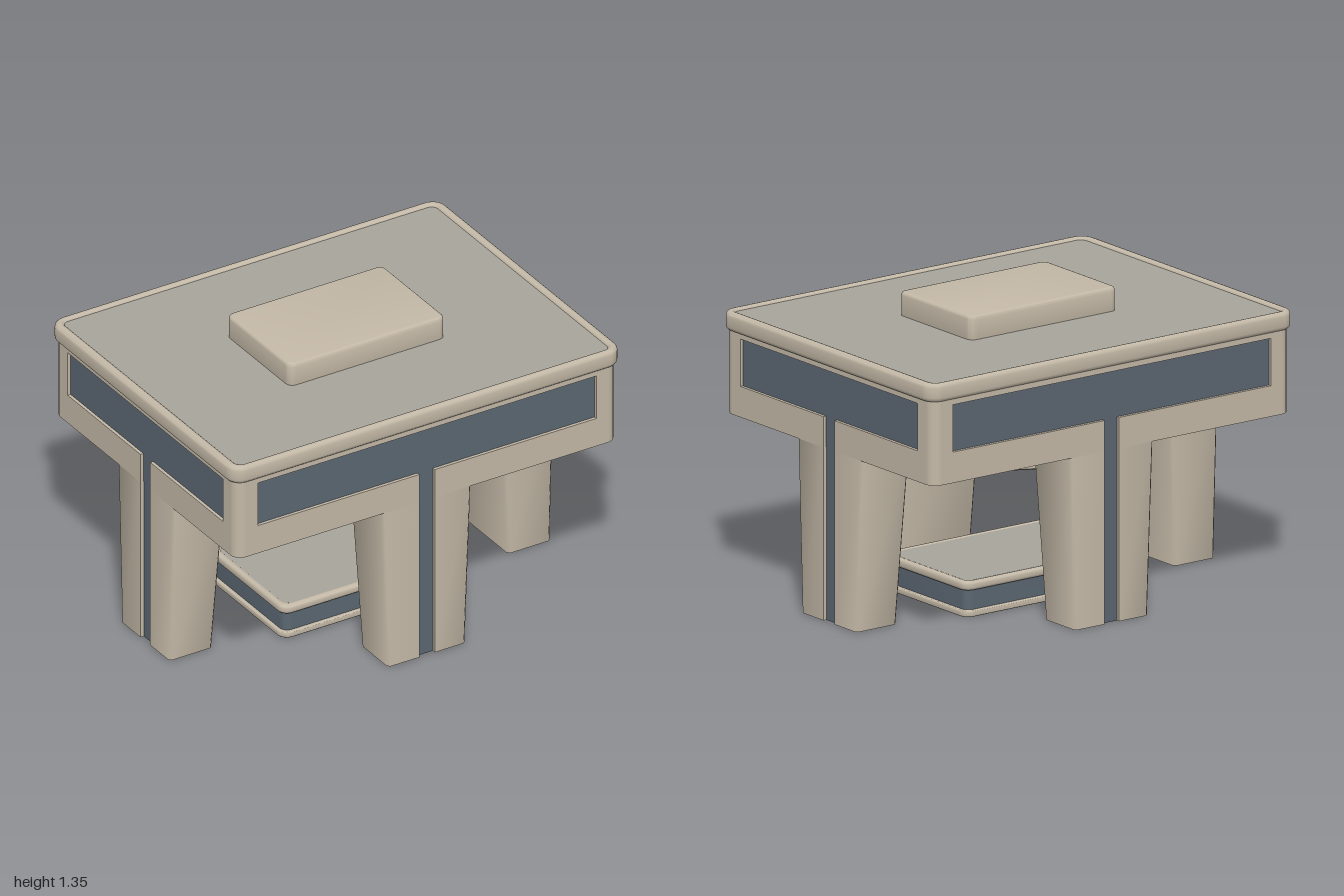
import * as THREE from 'three';
import { toCreasedNormals } from 'three/addons/utils/BufferGeometryUtils.js';

const tan = new THREE.MeshStandardMaterial({ color: 0xc4b9a7 });
const tanOpen = new THREE.MeshStandardMaterial({ color: 0xc4b9a7, side: THREE.DoubleSide });
const grey = new THREE.MeshStandardMaterial({ color: 0xa8a49c });
const blue = new THREE.MeshStandardMaterial({ color: 0x5b6772 });

const RECESS = 0.02;
const BODY_Y0 = 0.785, BODY_Y1 = 1.17;

function add(parent, name, geometry, material, x = 0, y = 0, z = 0) {
  const mesh = new THREE.Mesh(geometry, material);
  mesh.name = name;
  mesh.position.set(x, y, z);
  parent.add(mesh);
  return mesh;
}

// Rounded rectangle outline from half sizes
function roundedRect(a, b, r, Type = THREE.Shape) {
  const s = new Type();
  s.absarc(a - r, b - r, r, 0, Math.PI / 2);
  s.absarc(r - a, b - r, r, Math.PI / 2, Math.PI);
  s.absarc(r - a, r - b, r, Math.PI, Math.PI * 1.5);
  s.absarc(a - r, r - b, r, Math.PI * 1.5, Math.PI * 2);
  s.closePath();
  return s;
}

// Horizontal slab between two heights, with soft edges and an optional opening
function slab(a, b, r, y0, y1, bevel = 0, hole = null) {
  const shape = roundedRect(a, b, r);
  if (hole) shape.holes.push(roundedRect(...hole, THREE.Path));
  const g = new THREE.ExtrudeGeometry(shape, {
    depth: y1 - y0 - 2 * bevel, bevelEnabled: bevel > 0, bevelThickness: bevel,
    bevelSize: bevel, bevelOffset: -bevel, bevelSegments: 3, curveSegments: 6,
  });
  g.rotateX(-Math.PI / 2);
  g.translate(0, y0 + bevel, 0);
  return toCreasedNormals(g, 0.6);
}

// Side of the body: a plate with a T-shaped recess, lined in blue
function sidePanel(half, panelHalf) {
  const group = new THREE.Group();
  const s = new THREE.Shape([
    [-half, BODY_Y0], [-0.04, BODY_Y0], [-0.04, 0.925], [-panelHalf, 0.925],
    [-panelHalf, 1.14], [panelHalf, 1.14], [panelHalf, 0.925], [0.04, 0.925],
    [0.04, BODY_Y0], [half, BODY_Y0], [half, BODY_Y1], [-half, BODY_Y1],
  ].map(([x, y]) => new THREE.Vector2(x, y)));
  const plate = new THREE.ExtrudeGeometry(s, { depth: RECESS, bevelEnabled: false });
  add(group, 'sidePlate', plate, tan, 0, 0, -RECESS);
  add(group, 'inlayPanel', new THREE.BoxGeometry(panelHalf * 2, 0.215, 0.01), blue, 0, 1.0325, -RECESS);
  add(group, 'inlayStem', new THREE.BoxGeometry(0.08, 0.15, 0.01), blue, 0, 0.86, -RECESS);
  return group;
}

// Hollow tapered leg with a slot down its outer face, lofted from floor to body
function legSection(w, d) {
  const c = 0.012;
  return [
    [0.04, -RECESS], [0.04, 0], [w - c, 0], [w, -c], [w, c - d], [w - c, -d],
    [c - w, -d], [-w, c - d], [-w, -c], [c - w, 0], [-0.04, 0], [-0.04, -RECESS],
  ];
}

function legGeometry() {
  const low = legSection(0.2, 0.22), high = legSection(0.23, 0.27);
  const v = [];
  for (let i = 0; i < low.length - 1; i++) {
    const a = [low[i][0], 0, low[i][1]], b = [low[i + 1][0], 0, low[i + 1][1]];
    const c = [high[i + 1][0], BODY_Y0, high[i + 1][1]], d = [high[i][0], BODY_Y0, high[i][1]];
    v.push(...a, ...c, ...b, ...a, ...d, ...c);
  }
  const g = new THREE.BufferGeometry();
  g.setAttribute('position', new THREE.Float32BufferAttribute(v, 3));
  // Sections run clockwise from above, so orient the faces outward
  g.computeVertexNormals();
  return toCreasedNormals(g, 0.9);
}

function leg() {
  const group = new THREE.Group();
  add(group, 'legShell', legGeometry(), tanOpen);
  add(group, 'legStrip', new THREE.BoxGeometry(0.08, BODY_Y0, 0.006), blue, 0, BODY_Y0 / 2, -RECESS);
  return group;
}

export function createModel() {
  const model = new THREE.Group();
  model.name = 'table';

  // Body core and rounded corners
  const h = BODY_Y1 - BODY_Y0, mid = (BODY_Y0 + BODY_Y1) / 2;
  add(model, 'bodyCore', new THREE.BoxGeometry(1.92, h, 1.46), tan, 0, mid, 0);
  for (const x of [-0.93, 0.93]) for (const z of [-0.7, 0.7]) {
    add(model, 'bodyCorner', new THREE.CylinderGeometry(0.05, 0.05, h, 24), tan, x, mid, z);
  }

  // Four sides, each with its panel and leg
  const sides = ['front', 'left', 'back', 'right'];
  sides.forEach((name, i) => {
    const turned = i % 2 === 1;
    const side = new THREE.Group();
    side.name = name + 'Side';
    const panel = turned ? sidePanel(0.7, 0.64) : sidePanel(0.93, 0.87);
    panel.name = name + 'Panel';
    const support = leg();
    support.name = name + 'Leg';
    for (const part of [panel, support]) {
      part.position.z = turned ? 0.98 : 0.75;
      side.add(part);
    }
    side.rotation.y = i * Math.PI / 2;
    model.add(side);
  });

  // Table top: raised rim around a sunken surface, with a block in the middle
  add(model, 'topRim', slab(1, 0.765, 0.07, 1.165, 1.25, 0.02, [0.955, 0.725, 0.03]), tan);
  add(model, 'topSurface', slab(0.97, 0.74, 0.04, 1.17, 1.238), grey);
  add(model, 'centreBlock', slab(0.402, 0.263, 0.035, 1.22, 1.345, 0.015), tan);

  // Round drum under the body
  const drum = [
    [0, 0.642], [0.425, 0.642], [0.44, 0.65], [0.44, 0.672], [0.425, 0.675],
  ].map(([r, y]) => new THREE.Vector2(r, y));
  add(model, 'drumLowerRim', toCreasedNormals(new THREE.LatheGeometry(drum, 64), 0.4), tan);
  add(model, 'drumBand', new THREE.CylinderGeometry(0.425, 0.425, 0.1, 64), blue, 0, 0.718, 0);
  add(model, 'drumUpperRim', new THREE.CylinderGeometry(0.442, 0.442, 0.026, 64), tan, 0, 0.775, 0);

  // Floor base: hollow underneath
  add(model, 'baseTopRim', slab(0.465, 0.31, 0.05, 0.118, 0.16, 0.014, [0.43, 0.275, 0.03]), tan);
  add(model, 'baseTopSurface', slab(0.44, 0.285, 0.03, 0.122, 0.157), grey);
  add(model, 'baseBand', slab(0.448, 0.292, 0.04, 0.025, 0.12, 0, [0.436, 0.28, 0.03]), blue);
  add(model, 'baseBottomRim', slab(0.465, 0.31, 0.05, 0, 0.028, 0.005, [0.425, 0.27, 0.03]), tan);

  return model;
}
